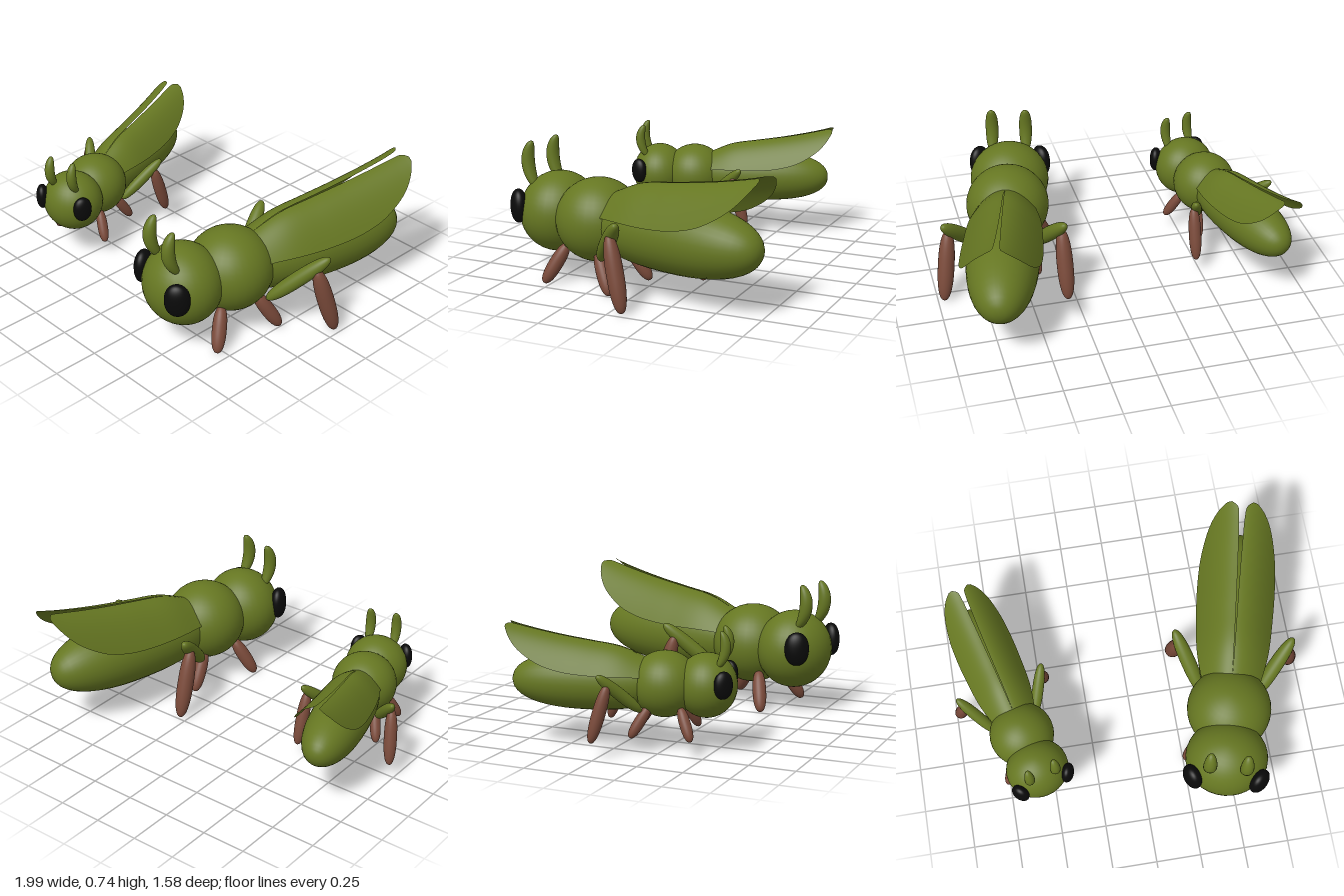
import * as THREE from 'three';
import { mergeVertices } from 'three/addons/utils/BufferGeometryUtils.js';

const green = new THREE.MeshStandardMaterial({ name: 'olive green', color: 0x667722 });
const wingGreen = new THREE.MeshStandardMaterial({ name: 'wing olive green', color: 0x667722, side: THREE.DoubleSide });
const brown = new THREE.MeshStandardMaterial({ name: 'leg brown', color: 0x7a4a3a });
const black = new THREE.MeshStandardMaterial({ name: 'eye black', color: 0x0a0a0a });

// Unit ellipsoid along y whose ends get blunter as n rises above 2; optional rule moves each vertex
function bluntGeometry(rx, ry, rz, n = 2, rule = null) {
  const g = new THREE.SphereGeometry(1, 32, 24);
  g.deleteAttribute('uv');
  g.deleteAttribute('normal');
  const p = g.attributes.position;
  const v = new THREE.Vector3();
  for (let i = 0; i < p.count; i++) {
    v.fromBufferAttribute(p, i);
    const r = Math.hypot(v.x, v.z);
    const k = r > 1e-5 ? Math.pow(r, 2 / n) / r : 0;
    v.set(v.x * k * rx, Math.sign(v.y) * Math.pow(Math.abs(v.y), 2 / n) * ry, v.z * k * rz);
    if (rule) rule(v);
    p.setXYZ(i, v.x, v.y, v.z);
  }
  const merged = mergeVertices(g, 1e-5);
  merged.computeVertexNormals();
  return merged;
}

function add(group, name, geometry, material, x, y, z) {
  const m = new THREE.Mesh(geometry, material);
  m.name = name;
  m.position.set(x, y, z);
  group.add(m);
  return m;
}

// Rounded limb reaching from tip a to tip b
function limb(group, name, a, b, radius, material, n = 2.4) {
  const from = new THREE.Vector3(...a);
  const dir = new THREE.Vector3(...b).sub(from);
  const len = dir.length();
  const mid = from.clone().addScaledVector(dir, 0.5);
  const m = add(group, name, bluntGeometry(radius, len / 2, radius, n), material, mid.x, mid.y, mid.z);
  m.quaternion.setFromUnitVectors(new THREE.Vector3(0, 1, 0), dir.normalize());
}

// Arched wing sheet lofted between its inner and outer edges
function wingGeometry(side) {
  // z, inner x, outer x, ridge height
  const rows = [
    [-0.12, 0, 0.16, 0.525], [-0.3, 0.002, 0.2, 0.6], [-0.5, 0.004, 0.216, 0.635],
    [-0.7, 0.007, 0.22, 0.668], [-0.86, 0.011, 0.208, 0.7], [-1.0, 0.016, 0.17, 0.733],
    [-1.06, 0.026, 0.128, 0.75], [-1.09, 0.06, 0.085, 0.76],
  ];
  const inner = new THREE.CatmullRomCurve3(rows.map(([z, i, , y]) => new THREE.Vector3(i, y, z)));
  const outer = new THREE.CatmullRomCurve3(rows.map(([z, , o, y]) => new THREE.Vector3(o, y, z)));
  const nu = 16, nv = 42, pos = [], idx = [];
  for (let j = 0; j <= nv; j++) {
    const a = inner.getPoint(j / nv), b = outer.getPoint(j / nv);
    for (let i = 0; i <= nu; i++) {
      const p = a.clone().lerp(b, i / nu);
      pos.push(side * p.x, p.y - 4.3 * p.x * p.x, p.z);
      if (i < nu && j < nv) {
        const c = j * (nu + 1) + i, d = c + nu + 1;
        if (side > 0) idx.push(c, c + 1, d, c + 1, d + 1, d);
        else idx.push(c, d, c + 1, c + 1, d, d + 1);
      }
    }
  }
  const g = new THREE.BufferGeometry();
  g.setAttribute('position', new THREE.Float32BufferAttribute(pos, 3));
  g.setIndex(idx);
  g.computeVertexNormals();
  return g;
}

// One insect facing +z with its thorax above the origin
function createInsect(name) {
  const bug = new THREE.Group();
  bug.name = name;

  // Body
  add(bug, 'head', bluntGeometry(0.228, 0.222, 0.21), green, 0, 0.353, 0.285);
  add(bug, 'thorax', bluntGeometry(0.235, 0.228, 0.235), green, 0, 0.353, 0);
  limb(bug, 'abdomen', [0, 0.36, 0.05], [0, 0.355, -1.06], 0.2, green, 2.3);

  for (const s of [1, -1]) {
    const side = s > 0 ? 'left' : 'right';

    // Eyes and antennae
    const eye = add(bug, side + 'Eye', bluntGeometry(0.068, 0.094, 0.045, 2.2), black, s * 0.183, 0.395, 0.418);
    eye.rotation.y = s * 0.94;
    const bend = (v) => { v.z += 0.12 * v.y - 2.4 * v.y * v.y; };
    add(bug, side + 'Antenna', bluntGeometry(0.037, 0.13, 0.036, 2.3, bend), green, s * 0.098, 0.615, 0.42);

    // Wings
    add(bug, side + 'Wing', wingGeometry(s), wingGreen, 0, 0, 0);

    // Legs
    limb(bug, side + 'FrontLeg', [s * 0.12, 0.22, 0.12], [s * 0.222, 0.008, 0.205], 0.039, brown);
    limb(bug, side + 'MiddleLeg', [s * 0.115, 0.22, -0.09], [s * 0.172, 0.008, -0.215], 0.039, brown);
    limb(bug, side + 'HindThigh', [s * 0.15, 0.19, -0.14], [s * 0.335, 0.465, -0.405], 0.042, green);
    limb(bug, side + 'HindShin', [s * 0.312, 0.4, -0.34], [s * 0.345, 0.008, -0.45], 0.046, brown);
  }
  return bug;
}

export function createModel() {
  const model = new THREE.Group();
  model.name = 'insectPair';

  const large = createInsect('largeInsect');
  large.position.set(0.525, 0, 0.285);
  large.rotation.y = -0.235;

  const small = createInsect('smallInsect');
  small.position.set(-0.637, 0.083, 0.243);
  small.rotation.y = 0.265;
  small.scale.setScalar(0.76);

  model.add(large, small);
  return model;
}
